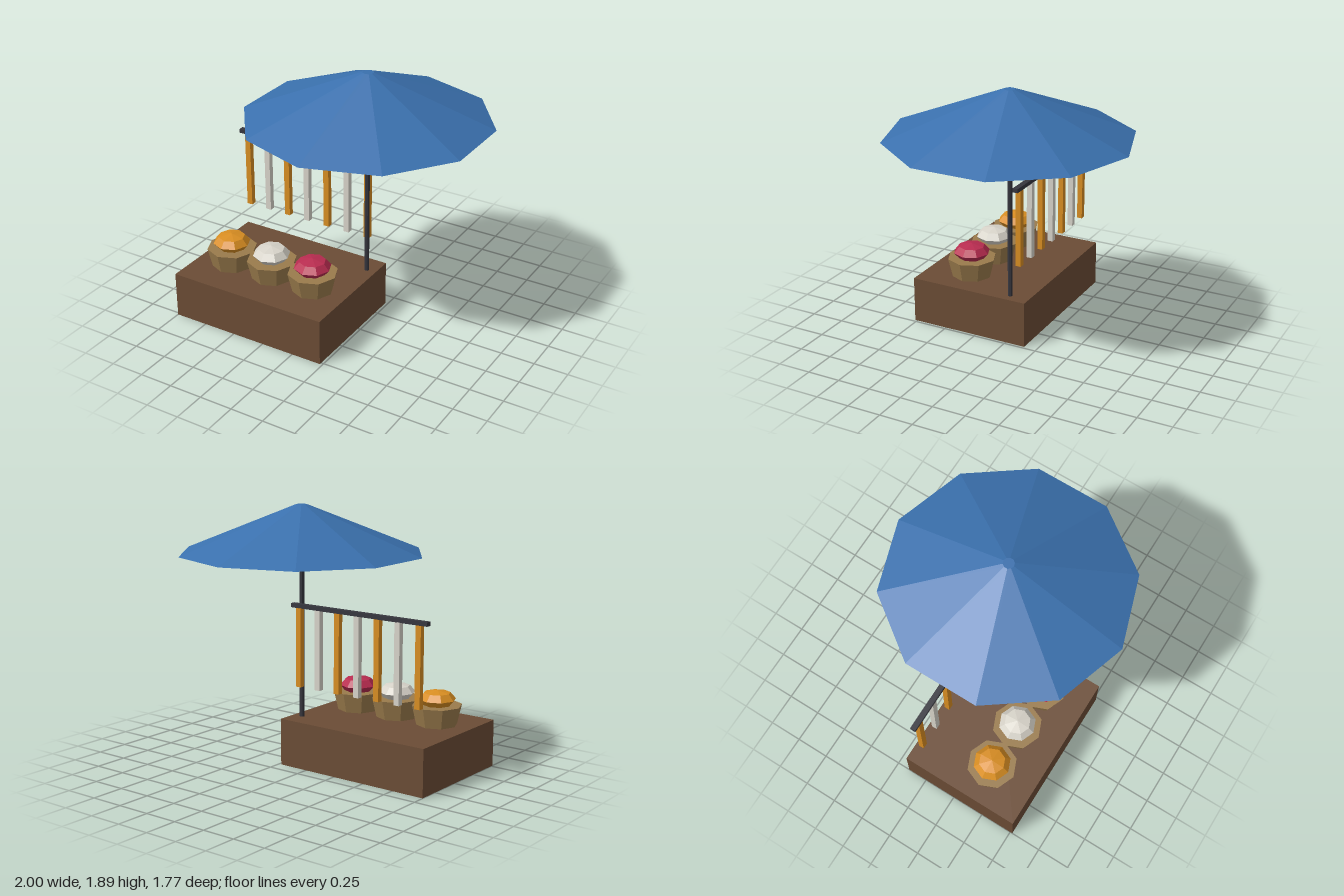
import * as THREE from 'three';

const mat = (name, color, extra = {}) => {
  const m = new THREE.MeshStandardMaterial({ color, flatShading: true, ...extra });
  m.name = name;
  return m;
};

export function createModel() {
  const wood = mat('brown wood', 0x6b4c35, { side: THREE.DoubleSide });
  const wicker = mat('tan wicker', 0x9a7b4c);
  const metal = mat('dark metal', 0x36363e);
  const blue = mat('blue canvas', 0x3a70ad);
  const amber = mat('amber', 0xd98e22);
  const silver = mat('pale silver', 0xd8d4ca);
  const crimson = mat('crimson', 0xb92c50);

  const model = new THREE.Group();
  model.name = 'marketStall';
  const add = (name, geometry, material, x, y, z, parent = model) => {
    const mesh = new THREE.Mesh(geometry, material);
    mesh.name = name;
    mesh.position.set(x, y, z);
    parent.add(mesh);
    return mesh;
  };

  // Counter: a box left open underneath (the bottom face group is dropped)
  const W = 1.23, H = 0.345, D = 0.92;
  const counterGeo = new THREE.BoxGeometry(W, H, D);
  const index = Array.from(counterGeo.index.array);
  index.splice(18, 6);
  counterGeo.setIndex(index);
  counterGeo.clearGroups();
  add('counter', counterGeo, wood, -0.385, H / 2, 0.308);

  // Parasol: pole and ten-sided canopy
  const px = 0.155;
  add('pole', new THREE.CylinderGeometry(0.018, 0.018, 1.205, 8), metal, px, 0.9475, 0);
  add('canopy', new THREE.CylinderGeometry(0.04, 0.885, 0.342, 10), blue, px, 1.719, 0);

  // Rail with seven hanging strips in alternating colours
  const rack = new THREE.Group();
  rack.name = 'hangingRack';
  model.add(rack);
  add('rail', new THREE.BoxGeometry(1.155, 0.03, 0.04), metal, -0.387, 1.175, -0.06, rack);
  const stripGeo = new THREE.BoxGeometry(0.043, 0.58, 0.04);
  for (let i = 0; i < 7; i++) {
    add('strip', stripGeo, i % 2 ? silver : amber, -0.895 + i * 0.17, 0.873, -0.06, rack);
  }

  // Three baskets, each holding a squashed faceted heap
  const basketGeo = new THREE.CylinderGeometry(0.182, 0.148, 0.145, 8);
  const heapGeo = new THREE.SphereGeometry(0.136, 8, 4).scale(1, 0.48, 1);
  [amber, silver, crimson].forEach((colour, i) => {
    const group = new THREE.Group();
    group.name = 'filledBasket';
    group.position.set(-0.733 + i * 0.347, 0, 0.425);
    model.add(group);
    add('basket', basketGeo, wicker, 0, 0.4155, 0, group);
    add('heap', heapGeo, colour, 0, 0.53, 0, group);
  });

  return model;
}
